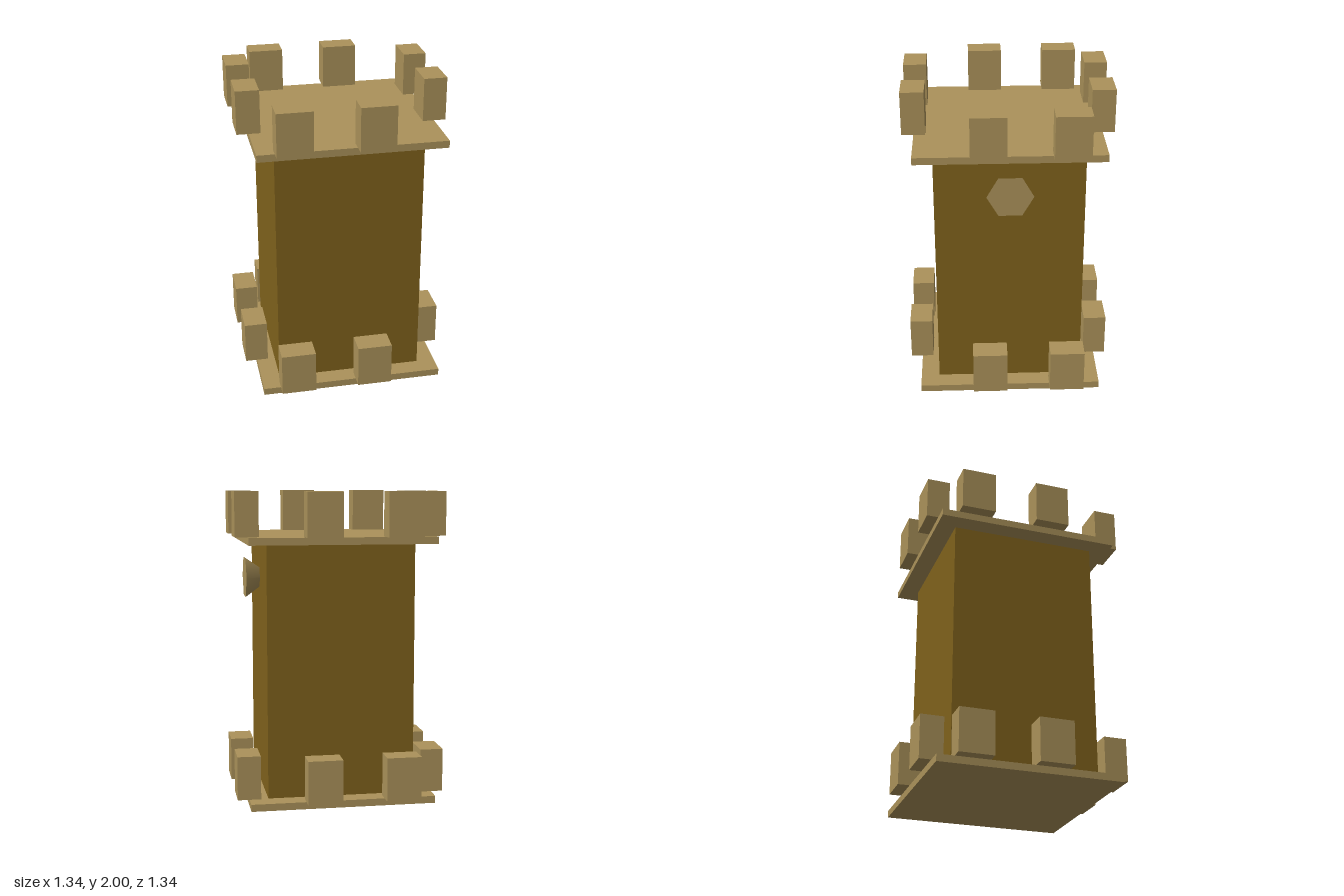
import * as THREE from 'three';

export function createModel() {
  const model = new THREE.Group();
  model.name = 'tower';
  const wood = new THREE.MeshStandardMaterial({ color: 0x80621c });
  const stone = new THREE.MeshStandardMaterial({ color: 0xab925a });

  const add = (parent, name, geometry, material, x, y, z) => {
    const mesh = new THREE.Mesh(geometry, material);
    mesh.name = name;
    mesh.position.set(x, y, z);
    parent.add(mesh);
    return mesh;
  };

  // Square tower shaft between the two slabs
  add(model, 'shaft', new THREE.BoxGeometry(0.95, 1.68, 0.95), wood, 0, 0.85, 0);

  // Slab with two merlons overhanging each edge
  const slab = new THREE.BoxGeometry(1.192, 0.046, 1.192);
  const merlonX = new THREE.BoxGeometry(0.224, 0.282, 0.15);
  const merlonZ = new THREE.BoxGeometry(0.15, 0.282, 0.224);
  const addTier = (name, y) => {
    const tier = new THREE.Group();
    tier.name = name;
    tier.position.y = y;
    add(tier, 'slab', slab, stone, 0, 0.023, 0);
    for (const side of [-0.597, 0.597]) {
      for (const along of [-0.373, 0.133]) {
        add(tier, 'merlon', merlonX, stone, along, 0.187, side);
        add(tier, 'merlon', merlonZ, stone, side, 0.187, along);
      }
    }
    model.add(tier);
  };
  addTier('baseTier', 0);
  addTier('topTier', 1.672);

  // Six-sided cone flaring out of the left wall, its tip buried in the shaft
  const horn = add(model, 'horn', new THREE.ConeGeometry(0.148, 0.19, 6), stone, 0.475, 1.434, 0);
  horn.rotation.z = Math.PI / 2;

  return model;
}
